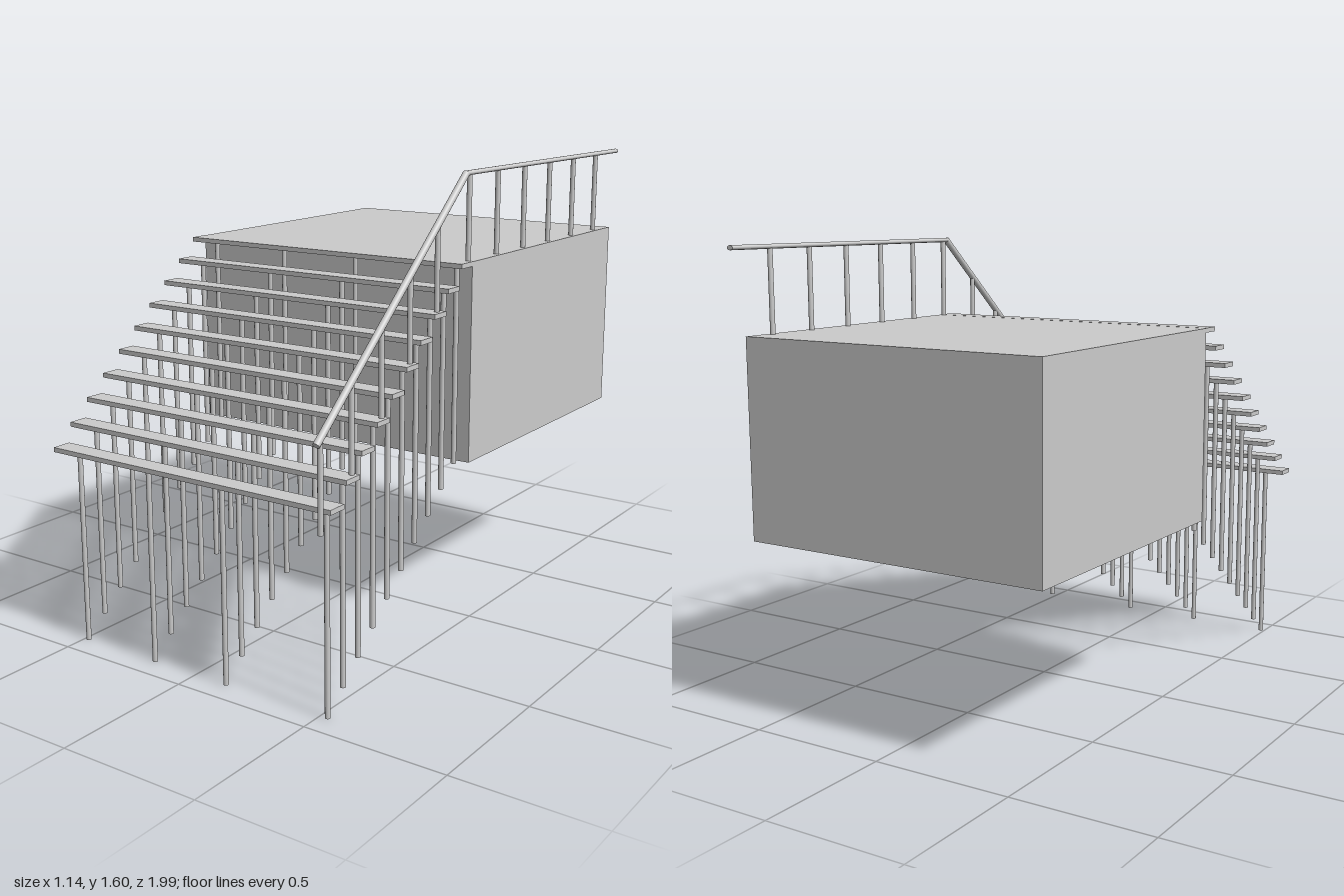
import * as THREE from 'three';

export function createModel() {
  const model = new THREE.Group();
  const material = new THREE.MeshStandardMaterial({ color: 0xcccccc });

  function add(name, geometry, x, y, z) {
    const mesh = new THREE.Mesh(geometry, material);
    mesh.name = name;
    mesh.position.set(x, y, z);
    model.add(mesh);
    return mesh;
  }

  // Upright round bar between two heights
  function upright(name, x, z, bottom, top) {
    const bar = new THREE.CylinderGeometry(0.009, 0.009, top - bottom, 12);
    return add(name, bar, x, (bottom + top) / 2, z);
  }

  // Rail running in the yz plane; height squashes its round section
  function rail(name, x, y0, z0, y1, z1, radius, height) {
    const dy = y1 - y0, dz = z1 - z0;
    const geometry = new THREE.CylinderGeometry(radius, radius, Math.hypot(dy, dz), 16);
    geometry.scale(1, 1, height / (2 * radius));
    const mesh = add(name, geometry, x, (y0 + y1) / 2, (z0 + z1) / 2);
    mesh.rotation.x = Math.atan2(dz, dy);
  }

  // Landing block
  const width = 1.137, centreX = -0.003;
  add('landing', new THREE.BoxGeometry(width, 0.684, 1.066), centreX, 0.966, -0.388);

  // Ten treads, each carried by four posts
  const rise = 0.0694, run = 0.0816;
  for (let i = 0; i < 10; i++) {
    const y = i * rise, z = 0.914 - i * run;
    add('tread', new THREE.BoxGeometry(width, 0.016, 0.07), centreX, y + 0.676, z);
    for (const x of [-0.485, -0.178, 0.127, 0.527]) upright('treadPost', x, z, y, y + 0.67);
  }

  // Handrail: sloped over the stairs, level over the landing
  const railX = 0.545, topY = 1.595, bendZ = 0.16, frontY = 0.885, frontZ = 0.99;
  rail('slopedHandrail', railX, frontY, frontZ, topY, bendZ, 0.012, 0.024);
  rail('levelHandrail', railX, topY, bendZ + 0.005, topY, -0.997, 0.012, 0.016);

  // Balusters on the stairs
  for (let i = 0; i < 5; i++) {
    const z = 0.97 - i * 0.1593;
    const top = frontY + (topY - frontY) * (frontZ - z) / (frontZ - bendZ);
    upright('stairBaluster', railX, z, 0.61 + i * 0.1388, top);
  }

  // Balusters on the landing
  for (let i = 0; i < 6; i++) upright('landingBaluster', railX, 0.138 - i * 0.1908, 1.305, topY);

  return model;
}
